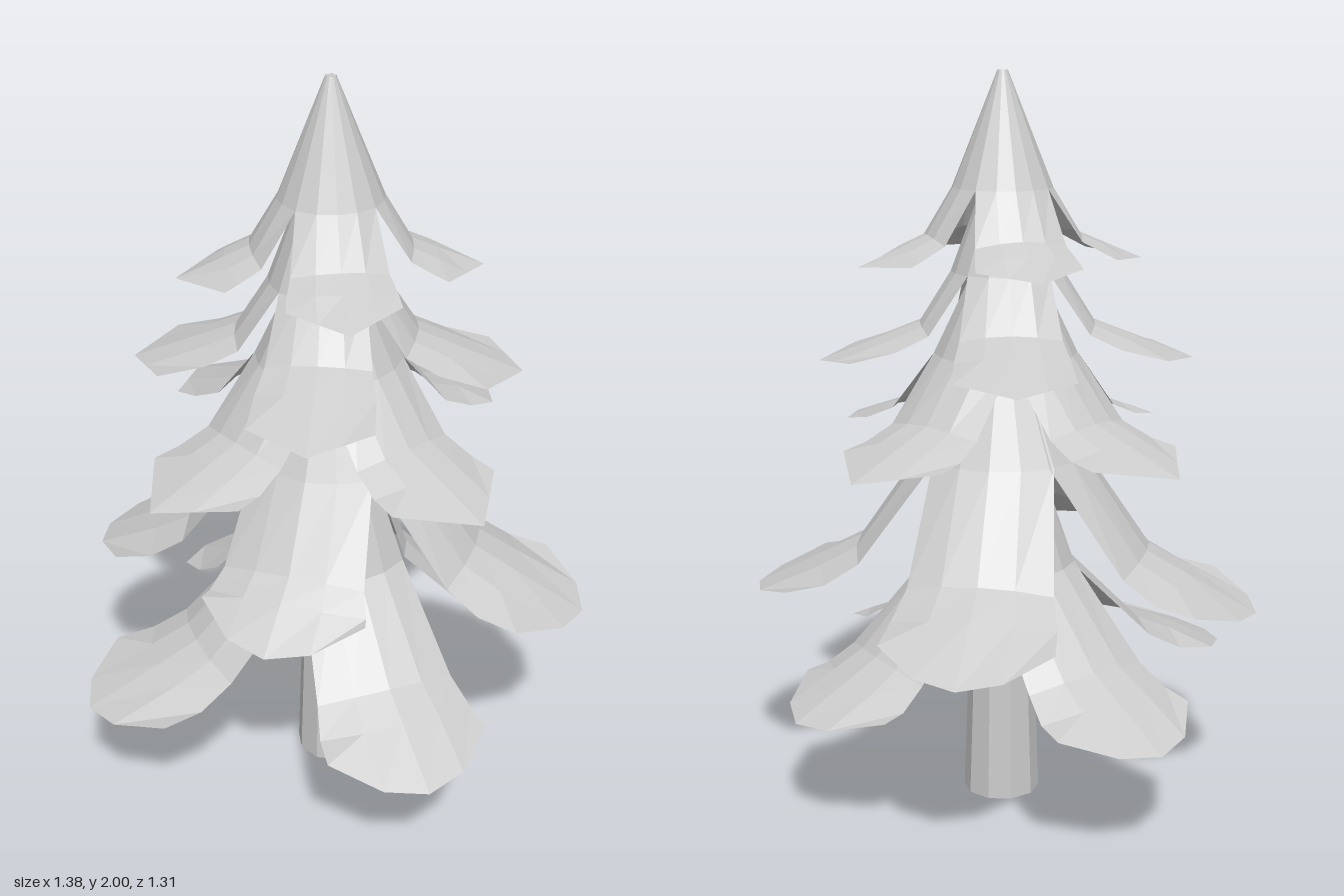
import * as THREE from 'three';

const material = new THREE.MeshStandardMaterial({ color: 0xcccccc, flatShading: true, side: THREE.DoubleSide });
const COLUMNS = [-1, -0.5, 0, 0.5, 1];

// One bough: rings of five points, running from the stem out to the tip.
// Each ring is [distance out, height, half width, pull-back of sides, droop of sides, bend power].
function boughGeometry(rings) {
  const pos = [], index = [], n = COLUMNS.length;
  for (const [out, y, half, back, droop, power = 2] of rings) {
    for (const u of COLUMNS) {
      const bend = Math.abs(u) ** power;
      pos.push(out - back * bend, y - droop * bend, -half * u);
    }
  }
  for (let r = 0; r < rings.length - 1; r++) {
    for (let c = 0; c < n - 1; c++) {
      const a = r * n + c, b = a + n;
      index.push(a, a + 1, b, a + 1, b + 1, b);
    }
  }
  const g = new THREE.BufferGeometry();
  g.setAttribute('position', new THREE.Float32BufferAttribute(pos, 3));
  g.setIndex(index);
  g.computeVertexNormals();
  return g;
}

// Tiers from the top down. split = where boughs part, knee = where they flare, as [radius, height].
// tip = [pull-back, droop, power] of the end edge: power 1 is pointed, 2 is rounded.
// boughs = [angle from +x towards +z in degrees, tip radius, tip height]
const quarter = (angle, radius, y) => [0, 90, 180, 270].map((d) => [angle + d, radius, y]);
const tiers = [
  { x: 0.013, z: 0.08, top: [0.014, 2.0], split: [0.135, 1.7], knee: [0.205, 1.58], width: 0.14,
    tip: [0.115, -0.015, 1], boughs: quarter(-35, 0.39, 1.5) },
  { x: 0, z: 0.08, top: [0.03, 1.8], split: [0.15, 1.48], knee: [0.235, 1.345], width: 0.155,
    tip: [0.09, -0.02, 1], boughs: quarter(-23, 0.505, 1.24) },
  { x: 0, z: 0.07, top: [0.03, 1.6], split: [0.19, 1.26], knee: [0.31, 1.11], width: 0.175,
    tip: [0.14, -0.03, 1], boughs: quarter(21, 0.58, 1.01) },
  { x: 0, z: 0.05, top: [0.04, 1.35], split: [0.225, 0.99], knee: [0.4, 0.735], width: 0.222,
    tip: [0.14, -0.05, 2],
    boughs: [[-12, 0.7, 0.58], [80, 0.55, 0.66], [172.7, 0.7, 0.58], [259, 0.71, 0.58]] },
  { x: 0.01, z: 0.06, top: [0.04, 1.15], split: [0.2, 0.68], knee: [0.41, 0.47], width: 0.22,
    tip: [0.145, -0.045, 2],
    boughs: [[41, 0.68, 0.335], [129, 0.72, 0.33], [213, 0.68, 0.335], [307, 0.64, 0.335]] },
];

function makeTier({ x, z, top, split, knee, width, tip, boughs }) {
  const group = new THREE.Group();
  boughs.forEach(([angle, tipR, tipY], i) => {
    // Higher boughs carry their knee a little higher, shorter ones a little closer in
    const kneeR = knee[0] + Math.min(0, tipR - boughs[0][1]) * 0.3;
    const kneeY = knee[1] + (tipY - boughs[0][2]) * 0.6;
    const mix = (t) => [kneeR + (tipR - kneeR) * t, kneeY + (tipY - kneeY) * t];
    const bough = new THREE.Mesh(boughGeometry([
      [...top, top[0] * 0.71, top[0] * 0.29, 0],
      [...split, split[0] * 0.72, split[0] * 0.28, 0],
      [kneeR, kneeY, width * 0.86, width * 0.15, width * 0.12],
      [...mix(0.35), width * 0.96, width * 0.22, width * 0.13],
      [tipR, tipY, width, ...tip],
    ]), material);
    bough.name = `bough${i + 1}`;
    bough.rotation.y = -THREE.MathUtils.degToRad(angle);
    group.add(bough);
  });
  group.position.set(x, 0, z);
  return group;
}

export function createModel() {
  const model = new THREE.Group();
  model.name = 'pineTree';

  // Ten-sided trunk, tapering up into the boughs
  const trunk = new THREE.Mesh(new THREE.CylinderGeometry(0.07, 0.106, 1, 10), material);
  trunk.name = 'trunk';
  trunk.position.set(0.007, 0.5, 0.057);
  model.add(trunk);

  // Five tiers of four boughs
  tiers.forEach((tier, i) => {
    const group = makeTier(tier);
    group.name = `boughTier${i + 1}`;
    model.add(group);
  });

  // Small flat cap closing the tree top
  const cap = new THREE.Mesh(new THREE.CircleGeometry(0.014, 8), material);
  cap.name = 'treeTop';
  cap.rotation.x = -Math.PI / 2;
  cap.position.set(tiers[0].x, 2, tiers[0].z);
  model.add(cap);
  return model;
}
